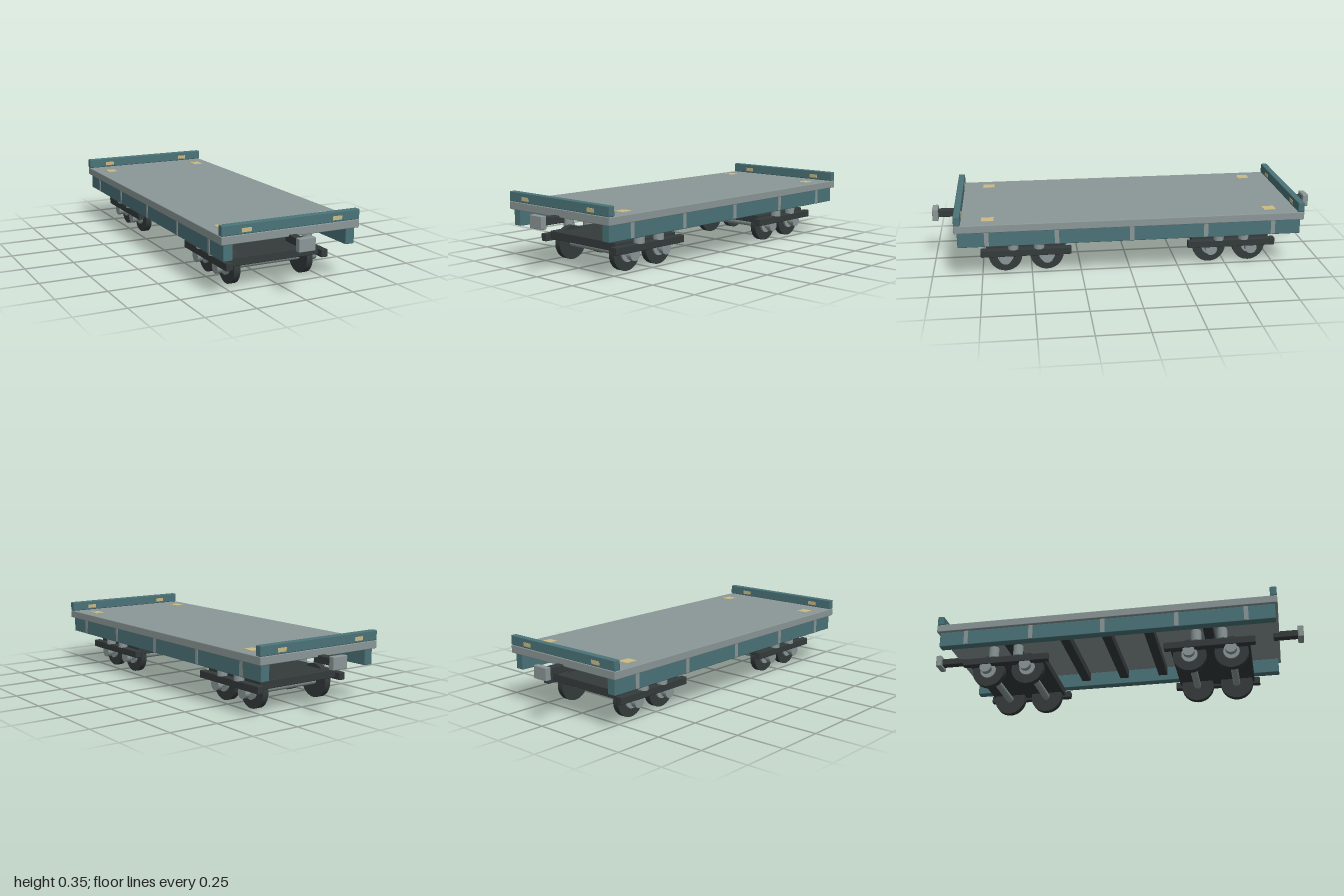
import * as THREE from 'three';
import { RoundedBoxGeometry } from 'three/addons/geometries/RoundedBoxGeometry.js';

const material = (name, color) => {
  const m = new THREE.MeshStandardMaterial({ color });
  m.name = name;
  return m;
};

export function createModel() {
  const teal = material('teal paint', 0x4b7479);
  const grey = material('grey metal', 0x8b9797);
  const dark = material('dark iron', 0x353b3b);
  const amber = material('amber marker', 0xccba85);

  const model = new THREE.Group();
  model.name = 'flatWagon';

  const add = (parent, name, geometry, mat, x, y, z) => {
    const mesh = new THREE.Mesh(geometry, mat);
    mesh.name = name;
    mesh.position.set(x, y, z);
    parent.add(mesh);
    return mesh;
  };
  // Box given by its limits on each axis, with a small edge bevel
  const box = (parent, name, mat, [x0, x1], [y0, y1], [z0, z1], bevel = 0.004) => {
    const size = [x1 - x0, y1 - y0, z1 - z0];
    const geometry = bevel ? new RoundedBoxGeometry(...size, 1, bevel) : new THREE.BoxGeometry(...size);
    return add(parent, name, geometry, mat, (x0 + x1) / 2, (y0 + y1) / 2, (z0 + z1) / 2);
  };
  // Cylinder lying along x
  const roller = (parent, name, mat, radius, [x0, x1], y, z, sides) => {
    const geometry = new THREE.CylinderGeometry(radius, radius, x1 - x0, sides).rotateZ(Math.PI / 2);
    return add(parent, name, geometry, mat, (x0 + x1) / 2, y, z);
  };
  const span = (centre, half) => [centre - half, centre + half];

  // Deck and the cross beams under it
  box(model, 'deck', grey, [-0.36, 0.36], [0.262, 0.302], [-0.876, 0.876]);
  for (const z of [-0.52, -0.22, 0, 0.22, 0.52]) {
    box(model, 'crossBeam', dark, [-0.3, 0.3], [0.215, 0.264], span(z, 0.025));
  }

  // Side sills with upright ribs
  for (const s of [-1, 1]) {
    box(model, 'sideSill', teal, span(s * 0.32, 0.024), [0.183, 0.264], [-0.862, 0.862]);
    for (const z of [-0.72, -0.375, 0, 0.375, 0.72]) {
      box(model, 'sillRib', grey, span(s * 0.343, 0.003), [0.187, 0.262], span(z, 0.011), 0);
    }
  }

  // End boards, markers and couplers
  for (const s of [-1, 1]) {
    box(model, 'endBoard', teal, [-0.36, 0.36], [0.302, 0.351], span(s * 0.859, 0.0165));
    box(model, 'couplerShaft', dark, [-0.021, 0.021], [0.235, 0.272], span(s * 0.91, 0.065));
    box(model, 'couplerHead', grey, [-0.043, 0.043], [0.222, 0.285], span(s * 0.985, 0.015));
    for (const t of [-1, 1]) {
      for (const face of [-1, 1]) {
        box(model, 'boardMarker', amber, span(t * 0.237, 0.025), [0.312, 0.331],
          span(s * 0.859 + face * 0.0165, 0.002), 0);
      }
      box(model, 'deckMarker', amber, span(t * 0.275, 0.027), [0.3, 0.304], span(s * 0.712, 0.031), 0);
    }
  }

  // Two four-wheel bogies
  for (const end of [-1, 1]) {
    const bogie = new THREE.Group();
    bogie.name = end > 0 ? 'frontBogie' : 'rearBogie';
    bogie.position.z = end * 0.527;
    model.add(bogie);

    box(bogie, 'bogieFrame', dark, [-0.237, 0.237], [0.108, 0.15], [-0.2, 0.2]);
    for (const s of [-1, 1]) {
      box(bogie, 'sideFrame', dark, span(s * 0.255, 0.018), [0.098, 0.136], [-0.228, 0.228]);
      for (const z of [-0.065, 0.065]) {
        add(bogie, 'spring', new THREE.CylinderGeometry(0.027, 0.027, 0.058, 10), grey, s * 0.255, 0.163, z);
      }
    }
    for (const z of [-0.105, 0.105]) {
      roller(bogie, 'axle', grey, 0.019, [-0.245, 0.245], 0.085, z, 16);
      for (const s of [-1, 1]) {
        roller(bogie, 'wheel', dark, 0.085, span(s * 0.196, 0.0165), 0.085, z, 28);
        roller(bogie, 'hub', grey, 0.041, span(s * 0.2155, 0.007), 0.085, z, 20);
        roller(bogie, 'axleBox', grey, 0.03, span(s * 0.256, 0.0145), 0.085, z, 16);
      }
    }
  }
  return model;
}
